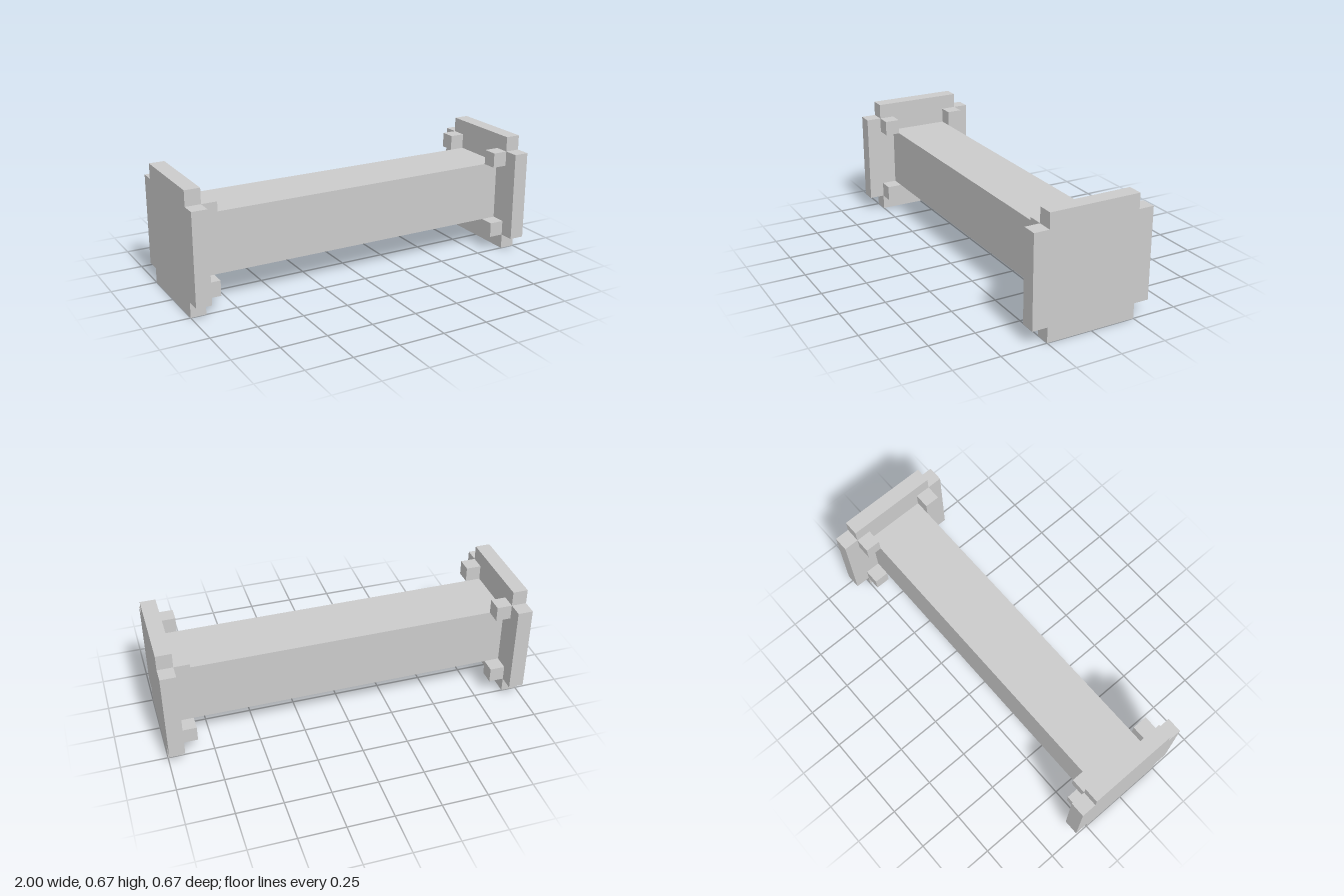
import * as THREE from 'three';

const U = 1 / 12; // block unit
const MID = 4 * U; // height of the beam axis

export function createModel() {
  const group = new THREE.Group();
  const material = new THREE.MeshStandardMaterial({ color: 0xcccccc, flatShading: true });

  const add = (name, geometry, x, y, z) => {
    const mesh = new THREE.Mesh(geometry, material);
    mesh.name = name;
    mesh.position.set(x, y, z);
    group.add(mesh);
    return mesh;
  };

  // Square beam running between the end plates
  add('beam', new THREE.BoxGeometry(22 * U, 4 * U, 4 * U), 0, MID, 0);

  // End plate outline: a square with notched corners
  const a = 4 * U, b = 3 * U;
  const outline = new THREE.Shape([
    [a, -b], [a, b], [b, b], [b, a], [-b, a], [-b, b],
    [-a, b], [-a, -b], [-b, -b], [-b, -a], [b, -a], [b, -b],
  ].map(([x, y]) => new THREE.Vector2(x, y)));
  const plate = new THREE.ExtrudeGeometry(outline, { depth: U, bevelEnabled: false });
  plate.translate(0, 0, -U / 2);
  plate.rotateY(Math.PI / 2);

  const stud = new THREE.BoxGeometry(U, U, U);
  for (const side of [1, -1]) {
    const label = side > 0 ? 'left' : 'right';
    add(label + 'EndPlate', plate, side * 11.5 * U, MID, 0);

    // Small corner blocks diagonal to the beam's edges
    for (const v of [1, -1]) {
      for (const d of [1, -1]) {
        const corner = (v > 0 ? 'Top' : 'Bottom') + (d > 0 ? 'Front' : 'Back');
        add(label + corner + 'CornerBlock', stud, side * 10.5 * U, MID + v * 2.5 * U, d * 2.5 * U);
      }
    }
  }
  return group;
}
